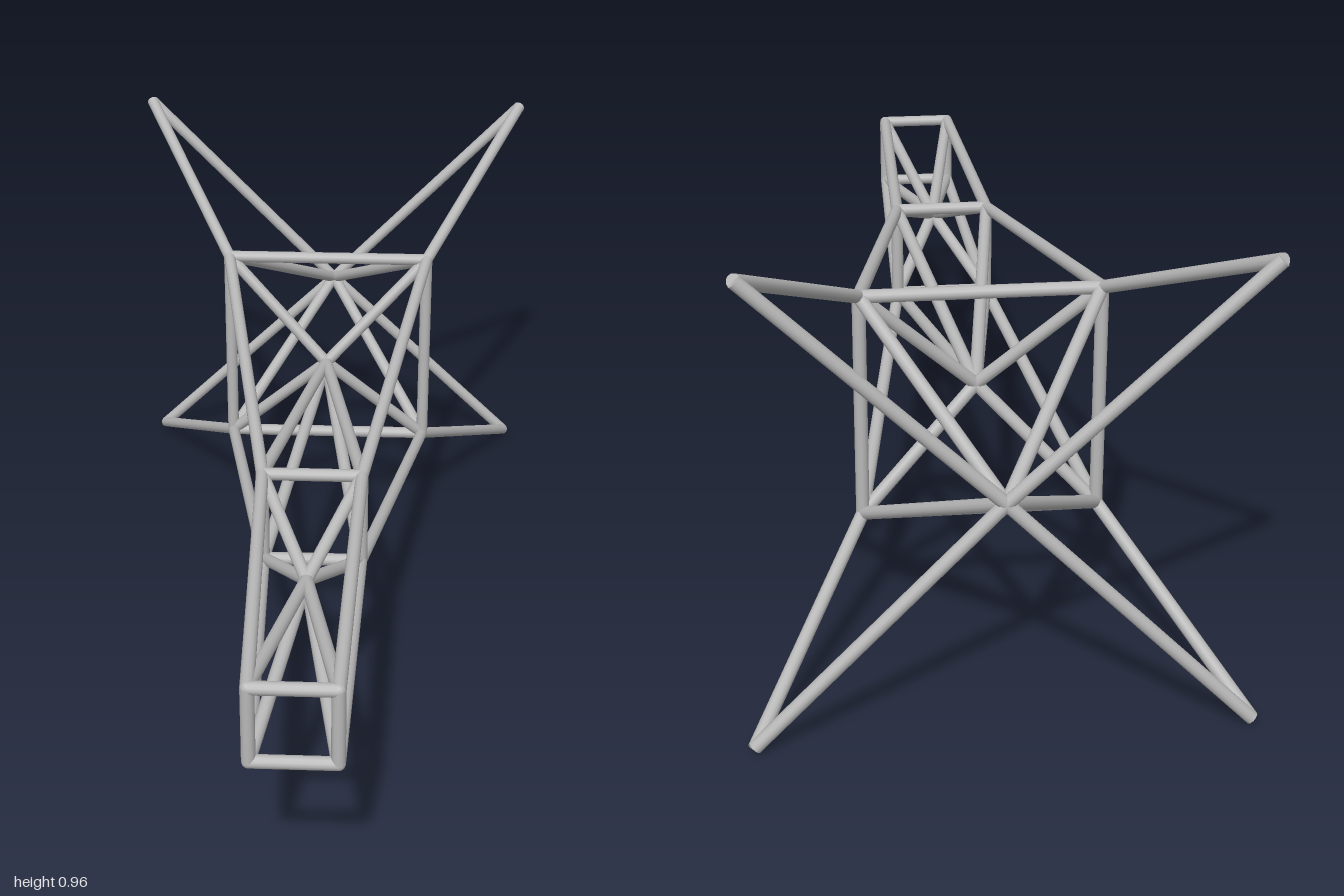
import * as THREE from 'three';

const RADIUS = 0.0135;
const MID_Y = 0.4755;
const UP = new THREE.Vector3(0, 1, 0);

export function createModel() {
  const model = new THREE.Group();
  model.name = 'trussFrame';
  const steel = new THREE.MeshStandardMaterial({ color: 0xb8b8b8 });
  steel.name = 'light grey steel';

  // Four corners of a square cross-section, in order around the axis
  const square = (half, z) => [[-1, -1], [1, -1], [1, 1], [-1, 1]].map(
    ([x, y]) => new THREE.Vector3(x * half, MID_Y + y * half, z));
  const hub = (z) => new THREE.Vector3(0, MID_Y, z);

  const rod = (name, a, b) => {
    const dir = b.clone().sub(a);
    const mesh = new THREE.Mesh(
      new THREE.CylinderGeometry(RADIUS, RADIUS, dir.length(), 12), steel);
    mesh.position.copy(a).add(b).multiplyScalar(0.5);
    mesh.quaternion.setFromUnitVectors(UP, dir.normalize());
    mesh.name = name;
    model.add(mesh);
  };
  const joint = (p) => {
    const mesh = new THREE.Mesh(new THREE.SphereGeometry(RADIUS, 12, 8), steel);
    mesh.position.copy(p);
    mesh.name = 'joint';
    model.add(mesh);
  };

  // Cross-sections from the narrow front to the flared rear tips
  const sections = [
    square(0.082, 0.9865), square(0.104, 0.268),
    square(0.237, -0.54), square(0.466, -0.9865),
  ];
  // Central hub inside each bay
  const hubs = [hub(0.508), hub(-0.455), hub(-0.952)];

  // Each bay: square frame, long rails and diagonal braces; the rear tips stay open
  hubs.forEach((centre, s) => {
    joint(centre);
    sections[s].forEach((corner, i) => {
      const rear = sections[s + 1][i];
      joint(corner);
      rod('frameBar', corner, sections[s][(i + 1) % 4]);
      rod('rail', corner, rear);
      rod('frontBrace', corner, centre);
      rod('rearBrace', rear, centre);
    });
  });

  return model;
}
